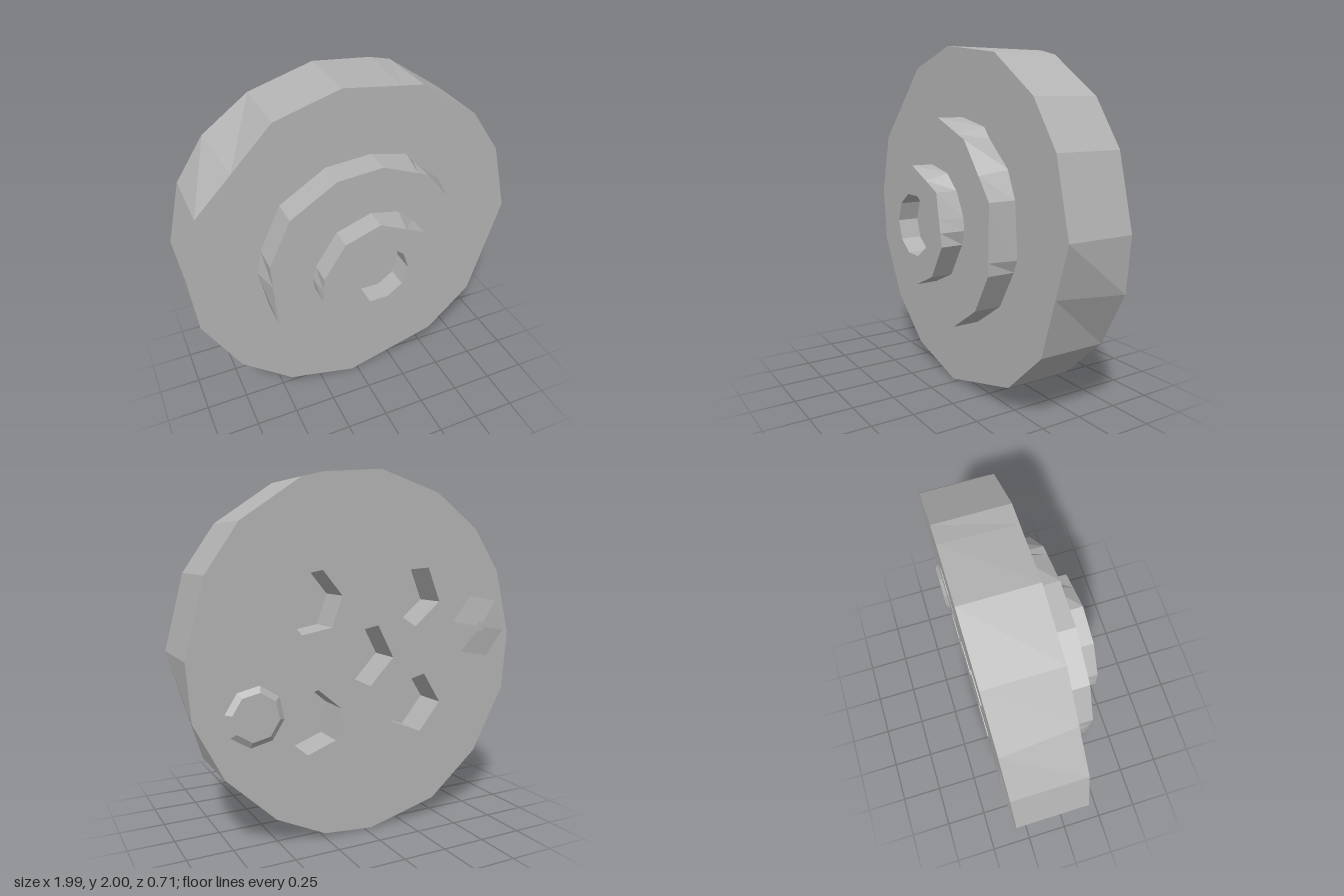
import * as THREE from 'three';

const gray = new THREE.MeshStandardMaterial({ color: 0xb4b4b4, flatShading: true });
gray.name = 'plain gray';

const V = (x, y) => new THREE.Vector2(x, y);
const ccw = (pts) => (THREE.ShapeUtils.isClockWise(pts) ? pts.slice().reverse() : pts);

// Reads x, y pairs; a third value of 1 marks a corner cut away on the front edge
function rings(rows) {
  const back = rows.map(([x, y]) => V(x, y));
  const n = rows.length;
  const front = back.map((p, i) => {
    if (!rows[i][2]) return p;
    let a = i, b = i;
    while (rows[a][2]) a = (a + n - 1) % n;
    while (rows[b][2]) b = (b + 1) % n;
    const chord = back[b].clone().sub(back[a]);
    const t = p.clone().sub(back[a]).dot(chord) / chord.lengthSq();
    return back[a].clone().addScaledVector(chord, t);
  });
  return { back: ccw(back), front: ccw(front) };
}

// Regular polygon ring
function polygon(cx, cy, r, sides, startDeg) {
  return Array.from({ length: sides }, (_, i) => {
    const a = THREE.MathUtils.degToRad(startDeg) + (i / sides) * Math.PI * 2;
    return V(cx + r * Math.cos(a), cy + r * Math.sin(a));
  });
}

// Flat face at height z, facing +z or -z
function addCap(out, ring, holes, z, facing) {
  const faces = THREE.ShapeUtils.triangulateShape(ring, holes.map((h) => h.slice().reverse()));
  const pts = ring.concat(...holes.map((h) => h.slice().reverse()));
  for (const [a, b, c] of faces) {
    const [p, q, s] = [pts[a], pts[b], pts[c]];
    const up = q.clone().sub(p).cross(s.clone().sub(p)) > 0;
    const order = up === (facing > 0) ? [p, q, s] : [p, s, q];
    for (const v of order) out.push(v.x, v.y, z);
  }
}

// Band between two rings; faces outward, or inward when reversed
function addWall(out, lower, z0, upper, z1, inward = false) {
  const n = lower.length;
  for (let i = 0; i < n; i++) {
    const j = (i + 1) % n;
    const a = [lower[i].x, lower[i].y, z0], b = [lower[j].x, lower[j].y, z0];
    const c = [upper[j].x, upper[j].y, z1], d = [upper[i].x, upper[i].y, z1];
    if (inward) out.push(...a, ...c, ...b, ...a, ...d, ...c);
    else out.push(...a, ...b, ...c, ...a, ...c, ...d);
  }
}

function toMesh(name, positions) {
  const g = new THREE.BufferGeometry();
  g.setAttribute('position', new THREE.Float32BufferAttribute(positions, 3));
  g.computeVertexNormals();
  const m = new THREE.Mesh(g, gray);
  m.name = name;
  return m;
}

// Faceted slab with blind holes in its front or back
function slab(name, rows, z0, z1, { frontHoles = [], backHoles = [], depth = 0.18 } = {}) {
  const { back, front } = rings(rows);
  const out = [];
  addWall(out, back, z0, front, z1);
  addCap(out, front, frontHoles, z1, 1);
  addCap(out, back, backHoles, z0, -1);
  for (const h of frontHoles) {
    addWall(out, h, z1 - depth, h, z1, true);
    addCap(out, h, [], z1 - depth, 1);
  }
  for (const h of backHoles) {
    addWall(out, h, z0, h, z0 + depth, true);
    addCap(out, h, [], z0 + depth, -1);
  }
  return toMesh(name, out);
}

// Shallow raised patch on the back face
function backPatch(name, x, y, r, topR, sides, z, height) {
  const out = [];
  const base = polygon(x, y, r, sides, 10), top = polygon(x, y, topR, sides, 10);
  addWall(out, top, z - height, base, z);
  addCap(out, top, [], z - height, -1);
  return toMesh(name, out);
}

export function createModel() {
  const model = new THREE.Group();
  model.name = 'steppedWheel';
  const body = new THREE.Group();
  body.name = 'wheelBody';
  body.position.y = 1;
  model.add(body);

  // Large disc with five pockets in its back
  const disc = [
    [-0.09, 0.995], [0.25, 0.965, 1], [0.375, 0.935], [0.71, 0.71], [0.89, 0.45], [0.995, 0.04],
    [0.97, -0.27, 1], [0.81, -0.58], [0.535, -0.84], [0.25, -0.975, 1], [-0.04, -1],
    [-0.46, -0.895], [-0.76, -0.645], [-0.965, -0.27], [-0.995, 0.07], [-0.9, 0.44],
    [-0.73, 0.69, 1], [-0.46, 0.885],
  ];
  const pockets = [
    polygon(0, 0, 0.178, 5, 44),
    polygon(0.32, 0.3, 0.178, 6, 50),
    polygon(0.32, -0.34, 0.178, 6, 40),
    polygon(-0.31, 0.32, 0.178, 5, 50),
    polygon(-0.32, -0.3, 0.178, 5, 40),
  ];
  body.add(slab('mainDisc', disc, -0.333, 0.07, { backHoles: pockets, depth: 0.19 }));

  // Middle step
  const step = [
    [-0.19, 0.575], [0.07, 0.597], [0.29, 0.55, 1], [0.34, 0.49], [0.51, 0.34, 1], [0.575, 0.19],
    [0.6, -0.12, 1], [0.57, -0.19], [0.45, -0.405], [0.23, -0.555], [0.08, -0.6, 1], [-0.03, -0.6],
    [-0.29, -0.53], [-0.56, -0.25], [-0.61, 0.01, 1], [-0.58, 0.15], [-0.455, 0.41],
  ];
  body.add(slab('middleStep', step, 0.065, 0.23));

  // Hub with a blind bore
  const hub = [
    [0, 0.335], [0.17, 0.3, 1], [0.265, 0.215], [0.335, 0.08, 1], [0.345, 0.01, 1], [0.32, -0.07],
    [0.21, -0.255], [0.04, -0.335], [-0.12, -0.325, 1], [-0.235, -0.25], [-0.335, -0.07],
    [-0.345, 0, 1], [-0.325, 0.075], [-0.2, 0.265],
  ];
  const bore = polygon(0, 0, 0.178, 10, 0);
  // The bore sinks through the hub into the step, so the step is opened below it
  const hubMesh = slab('hub', hub, 0.225, 0.355, { frontHoles: [bore], depth: 0.12 });
  body.add(hubMesh);

  // Low swellings on the back face
  body.add(backPatch('backBoss', 0.645, -0.27, 0.165, 0.13, 8, -0.332, 0.022));
  body.add(backPatch('backSwell', -0.77, 0.12, 0.2, 0.03, 6, -0.332, 0.02));
  return model;
}
